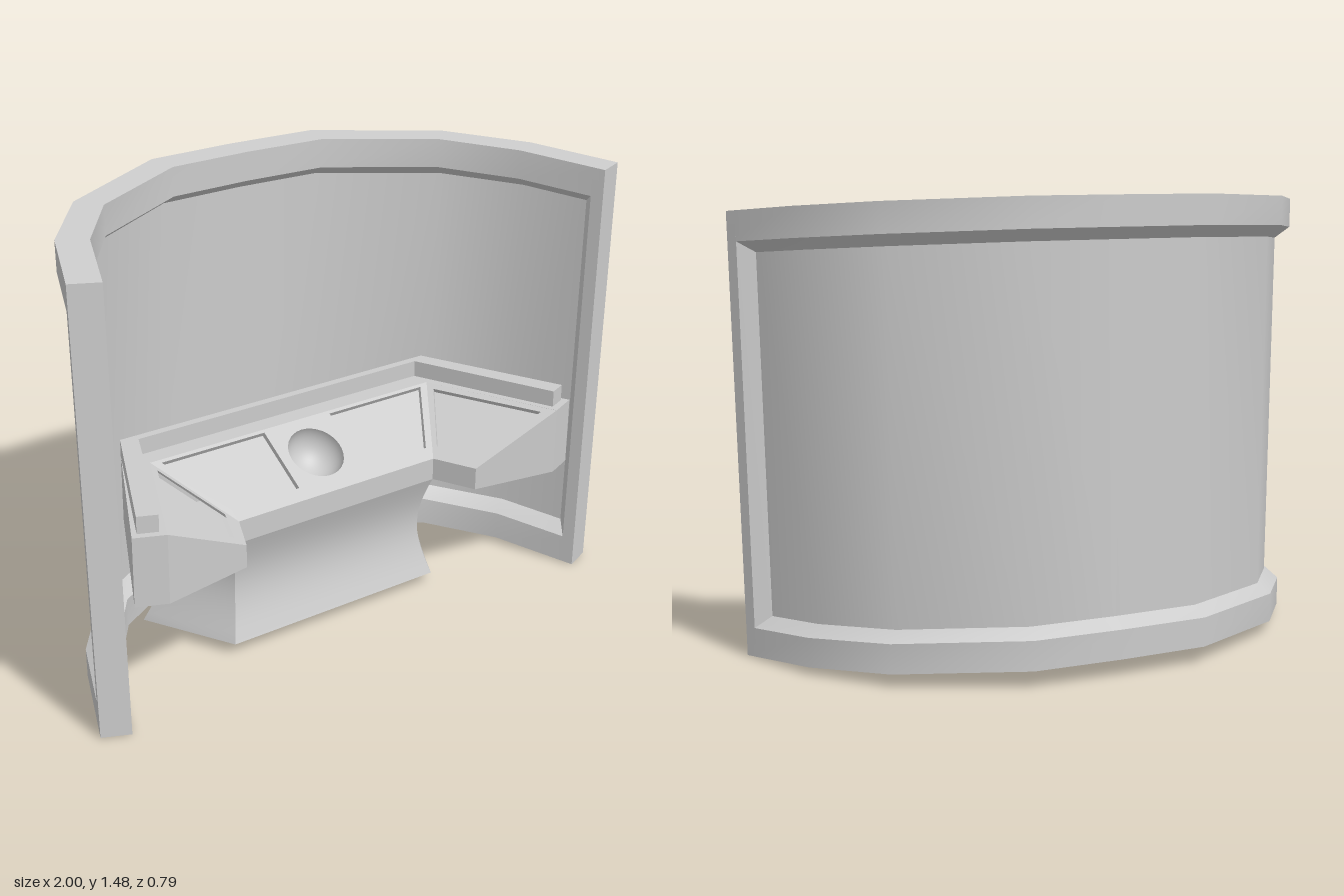
import * as THREE from 'three';
import { toCreasedNormals } from 'three/addons/utils/BufferGeometryUtils.js';

const V = (x, y, z) => new THREE.Vector3(x, y, z);
const material = new THREE.MeshStandardMaterial({ color: 0xcccccc });
const thinMaterial = new THREE.MeshStandardMaterial({ color: 0xcccccc, side: THREE.DoubleSide });

// Skin over closed rings of points, with capped ends; strips listed in skip stay open
function loft(rings, skip = [], crease = 0.6) {
  const pos = [];
  const tri = (...pts) => pts.forEach((p) => pos.push(p.x, p.y, p.z));
  const n = rings[0].length;
  for (let i = 0; i < rings.length - 1; i++) {
    for (let j = 0; j < n; j++) {
      if (skip.includes(j)) continue;
      const k = (j + 1) % n, a = rings[i], b = rings[i + 1];
      tri(a[j], b[j], b[k]);
      tri(a[j], b[k], a[k]);
    }
  }
  const first = rings[0], last = rings[rings.length - 1];
  for (let j = 1; j < n - 1; j++) {
    const c = 2 % n, p = (c + j) % n, q = (c + j + 1) % n;
    tri(first[c], first[p], first[q]);
    tri(last[c], last[q], last[p]);
  }
  const geo = new THREE.BufferGeometry();
  geo.setAttribute('position', new THREE.Float32BufferAttribute(pos, 3));
  return toCreasedNormals(geo, crease);
}

function add(group, name, geometry, mat = material) {
  const mesh = new THREE.Mesh(geometry, mat);
  mesh.name = name;
  group.add(mesh);
  return mesh;
}

// Curved screen: plan stations from centre to end, [outerX, outerZ, innerX, innerZ]
const H = 1.42;
const plan = [
  [0, -0.4, 0, -0.307],
  [0.305, -0.39, 0.285, -0.297],
  [0.695, -0.18, 0.63, -0.115],
  [0.882, 0.055, 0.795, 0.1],
  [1.0, 0.34, 0.91, 0.375],
];
const mirrored = (list, flip) => [...list.slice().reverse().map(flip), ...list];

// Rises toward the back and narrows slightly toward the floor
const screenPoint = (x, z, h) => V(x * (0.973 + 0.027 * h / H), h + (0.37 - z) * 0.076, z);

function buildScreen() {
  const g = new THREE.Group();
  g.name = 'curvedScreen';
  const flip = ([a, b, c, d]) => [-a, b, -c, d];
  const stations = [...plan.slice(1).reverse().map(flip), ...plan];
  const bar = (hFace, hMid, hEdge) => stations.map(([ox, oz, ix, iz]) => {
    const o = (h) => screenPoint(ox, oz, h), i = (h) => screenPoint(ix, iz, h);
    const m = screenPoint((ox + ix) / 2, (oz + iz) / 2, hMid);
    return hMid < hEdge ? [i(hFace), i(hEdge), o(hEdge), o(hFace), m]
      : [i(hEdge), i(hFace), m, o(hFace), o(hEdge)];
  });
  add(g, 'topBar', loft(bar(H - 0.095, H - 0.13, H)));
  add(g, 'bottomBar', loft(bar(0.095, 0.13, 0)));

  // End posts with a bevel facing the panel
  const [a, b] = plan.slice(-2);
  const along = (k, t) => a[k] + (b[k] - a[k]) * t;
  const mid = [(along(0, 0.75) + along(2, 0.75)) / 2, (along(1, 0.75) + along(3, 0.75)) / 2];
  const section = [
    [along(0, 0.86), along(1, 0.86)], [b[0], b[1]], [b[2], b[3]],
    [along(2, 0.86), along(3, 0.86)], mid,
  ];
  for (const s of [1, -1]) {
    const rings = [0.04, H - 0.04].map((h) => {
      const ring = section.map(([x, z]) => screenPoint(s * x, z, h));
      return s > 0 ? ring : ring.reverse();
    });
    add(g, s > 0 ? 'leftPost' : 'rightPost', loft(rings));
  }

  // Thin smooth panel in the middle of the frame
  const pos = [], index = [];
  stations.forEach(([ox, oz, ix, iz], i) => {
    const end = i === 0 || i === stations.length - 1;
    const x = end ? Math.sign(ox) * mid[0] : (ox + ix) / 2;
    const z = end ? mid[1] : (oz + iz) / 2;
    for (const h of [0.1, H - 0.1]) pos.push(...screenPoint(x, z, h).toArray());
    if (i) index.push(2 * i - 2, 2 * i, 2 * i + 1, 2 * i - 2, 2 * i + 1, 2 * i - 1);
  });
  const panel = new THREE.BufferGeometry();
  panel.setAttribute('position', new THREE.Float32BufferAttribute(pos, 3));
  panel.setIndex(index);
  panel.computeVertexNormals();
  add(g, 'screenPanel', panel, thinMaterial);
  return g;
}

// Sloping desk plate with recesses; holes are plan polygons, bowl is a plan centre
function addPlate(group, name, corners, recesses, bowl) {
  const [a, b, , d] = corners;
  const u = b.clone().sub(a).normalize();
  const n = u.clone().cross(d.clone().sub(a)).normalize();
  if (n.y < 0) n.negate();
  const v = n.clone().cross(u);
  const flat = (p) => {
    const q = p.clone().sub(a);
    return new THREE.Vector2(q.dot(u), q.dot(v));
  };
  const onPlane = ([x, z]) => flat(V(x, a.y - (n.x * (x - a.x) + n.z * (z - a.z)) / n.y, z));
  const place = new THREE.Matrix4().makeBasis(u, v, n).setPosition(a);
  const depth = 0.02, r = 0.095;

  const shape = new THREE.Shape(corners.map(flat));
  for (const recess of recesses) {
    const pts = recess.map(onPlane);
    shape.holes.push(new THREE.Path(pts));
    const floor = new THREE.ShapeGeometry(new THREE.Shape(pts)).translate(0, 0, -depth + 0.003);
    add(group, name + 'RecessFloor', floor.applyMatrix4(place), thinMaterial);
  }
  if (bowl) {
    const c = onPlane(bowl);
    shape.holes.push(new THREE.Path().absarc(c.x, c.y, r, 0, Math.PI * 2));
    const dish = new THREE.SphereGeometry(r, 32, 12, 0, Math.PI * 2, Math.PI / 2, Math.PI / 2);
    dish.rotateX(Math.PI / 2).translate(c.x, c.y, 0);
    add(group, 'deskBowl', dish.applyMatrix4(place), thinMaterial);
  }
  const plate = new THREE.ExtrudeGeometry(shape, { depth, bevelEnabled: false, curveSegments: 16 });
  add(group, name, plate.translate(0, 0, -depth).applyMatrix4(place));
}

function buildDesk() {
  const g = new THREE.Group();
  g.name = 'desk';
  const low = 0.405, lip = 0.48, top = 0.63;
  // Plan points at the mitre and at the wing end: [inner, ridge, outer]
  const mitre = [[0.385, 0.2], [0.55, -0.045], [0.6, -0.14]];
  const end = [[0.45, 0.34], [0.75, 0.39], [0.845, 0.35]];
  const sweep = (ringOf) => [[end, -1], [mitre, -1], [mitre, 1], [end, 1]].map(([p, s]) =>
    ringOf(p, (k, y) => V(s * p[k][0], y, p[k][1])));

  // Body, open where the sloping plates lie
  const body = sweep((p, at) => [at(0, low), at(0, lip), at(1, top), at(2, top), at(2, low), at(1, low)]);
  add(g, 'deskBody', loft(body, [1], 0.2));

  // Raised rail along the back and sides
  const railMitre = [[0.55, -0.112], [0.6, -0.14]];
  const railEnd = [[0.76, 0.36], [0.82, 0.335]];
  const rail = [[railEnd, -1], [railMitre, -1], [railMitre, 1], [railEnd, 1]].map(([[i, o], s]) => [
    V(s * i[0], top - 0.01, i[1]), V(s * i[0], 0.685, i[1]),
    V(s * o[0], 0.685, o[1]), V(s * o[0], top - 0.01, o[1]),
  ]);
  add(g, 'deskRail', loft(rail, [], 0.2));

  // Sloping tops
  const flip = (poly) => poly.map(([x, z]) => [-x, z]);
  const at = (p, k, s, y) => V(s * p[k][0], y, p[k][1]);
  const bay = [[0.13, -0.035], [0.515, -0.035], [0.385, 0.16], [0.13, 0.16]];
  addPlate(g, 'centreTop', [at(mitre, 0, -1, lip), at(mitre, 0, 1, lip), at(mitre, 1, 1, top), at(mitre, 1, -1, top)],
    [bay, flip(bay)], [0, 0.07]);
  const wingBay = [[0.42, 0.175], [0.475, 0.312], [0.715, 0.352], [0.548, -0.005]];
  for (const s of [1, -1]) {
    addPlate(g, s > 0 ? 'leftWingTop' : 'rightWingTop',
      [at(mitre, 0, s, lip), at(end, 0, s, lip), at(end, 1, s, top), at(mitre, 1, s, top)],
      [s > 0 ? wingBay : flip(wingBay)]);
  }

  // Pedestal with a concave waist
  const rings = [];
  for (let i = 0; i <= 12; i++) {
    const t = i / 12, y = 0.04 + t * 0.367;
    const w = 0.045 * Math.sin(Math.PI * t);
    rings.push([V(0.56 - w, y, -0.11 + w), V(0.4 - w * 0.7, y, 0.19 - w),
      V(-0.4 + w * 0.7, y, 0.19 - w), V(-0.56 + w, y, -0.11 + w)]);
  }
  add(g, 'pedestal', loft(rings));
  return g;
}

export function createModel() {
  const model = new THREE.Group();
  model.name = 'curvedScreenConsole';
  model.add(buildScreen(), buildDesk());
  return model;
}
